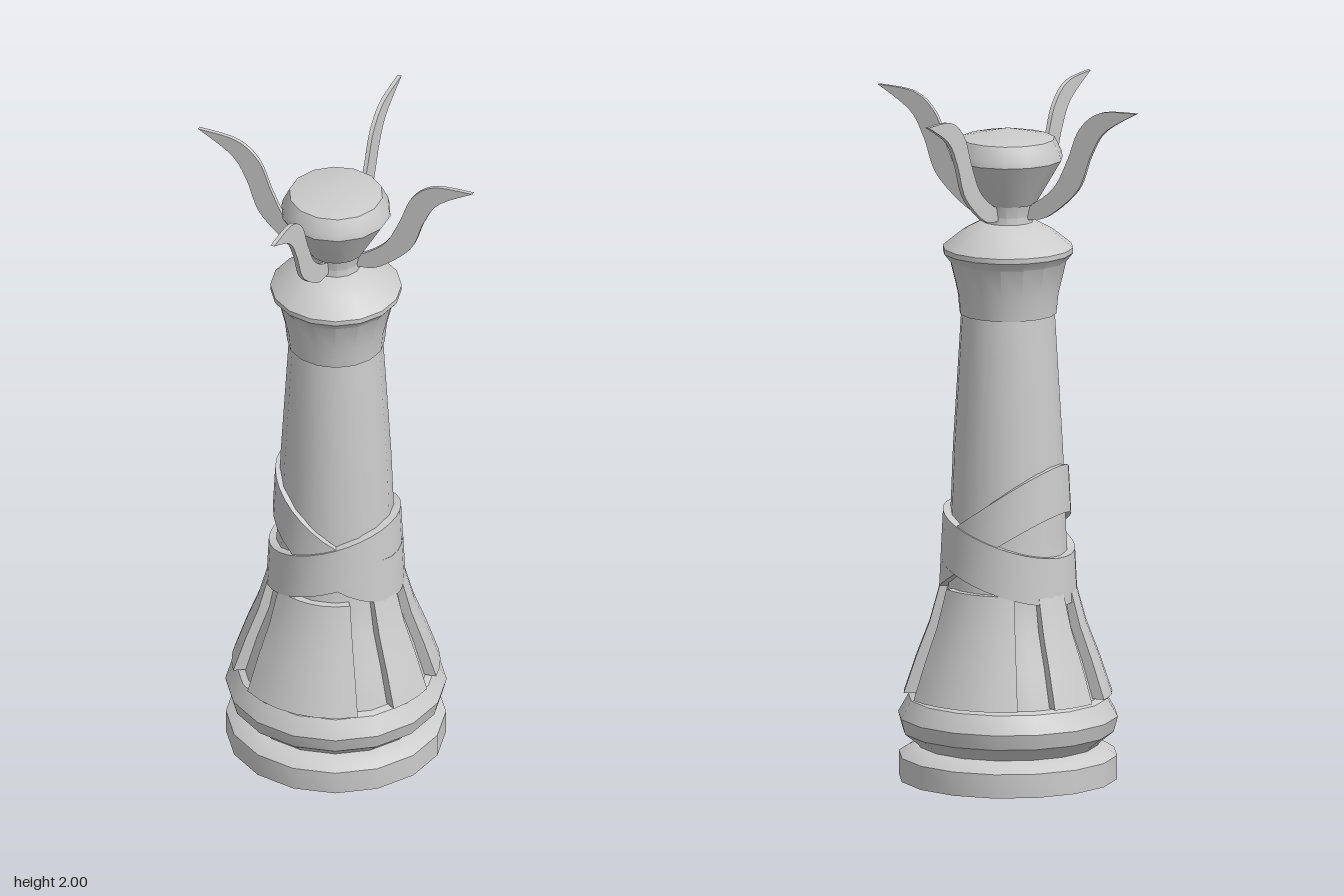
import * as THREE from 'three';
import { toCreasedNormals } from 'three/addons/utils/BufferGeometryUtils.js';

const material = new THREE.MeshStandardMaterial({ color: 0xcccccc });
const SIDES = 16;

function addPart(parent, name, geometry) {
  const mesh = new THREE.Mesh(toCreasedNormals(geometry, 0.55), material);
  mesh.name = name;
  parent.add(mesh);
  return mesh;
}

function lathe(profile, sides = SIDES) {
  return new THREE.LatheGeometry(profile.map(([r, y]) => new THREE.Vector2(r, y)), sides);
}

// Sweeps a closed [radius, height] section around y; angle 0 faces +z.
// Sections list the outer side upward, then the inner side downward.
function sweep(section, start, end, steps, capped) {
  const pos = [], index = [];
  let m = 0;
  for (let i = 0; i <= steps; i++) {
    const a = start + (end - start) * i / steps;
    const loop = section(a);
    m = loop.length;
    for (const [r, y] of loop) pos.push(r * Math.sin(a), y, r * Math.cos(a));
  }
  const quad = (a, b, c, d) => index.push(a, b, c, a, c, d);
  for (let i = 0; i < steps; i++) {
    for (let j = 0; j < m; j++) {
      const k = (j + 1) % m;
      quad(i * m + j, (i + 1) * m + j, (i + 1) * m + k, i * m + k);
    }
  }
  if (capped) {
    const e = steps * m;
    for (let j = 0; j < m / 2 - 1; j++) {
      quad(j, j + 1, m - 2 - j, m - 1 - j);
      quad(e + m - 1 - j, e + m - 2 - j, e + j + 1, e + j);
    }
  }
  const g = new THREE.BufferGeometry();
  g.setAttribute('position', new THREE.Float32BufferAttribute(pos, 3));
  g.setIndex(index);
  return g;
}

// Tilted cloth band that hugs the tapering column
function band(centre, rise, lift) {
  const outer = (y, a) => 0.225 - 0.05 * y + lift(a);
  return sweep((a) => {
    const y = centre + rise * Math.sin(a);
    const lo = y - 0.07, hi = y + 0.07;
    return [[outer(lo, a), lo], [outer(hi, a), hi], [outer(hi, a) - 0.04, hi], [outer(lo, a) - 0.04, lo]];
  }, 0, Math.PI * 2, 32, false);
}

// Skirt panel lying over the flared lower body
function panel(centreDeg, halfDeg, steps) {
  const outer = [[0.302, 0.25], [0.265, 0.36], [0.227, 0.46], [0.197, 0.57]];
  const loop = [...outer, ...outer.map(([r, y]) => [r - 0.045, y]).reverse()];
  const rad = THREE.MathUtils.degToRad;
  return sweep(() => loop, rad(centreDeg - halfDeg), rad(centreDeg + halfDeg), steps, true);
}

// Thin S-curved horn, drawn in the xy plane and pointing to +x
function horn(reach) {
  const v = ([x, y]) => new THREE.Vector2(x * reach, y);
  const lower = [[0.04, 1.65], [0.08, 1.652], [0.14, 1.67], [0.235, 1.755], [0.278, 1.86], [0.325, 1.935], [0.43, 2]].map(v);
  const upper = [[0.43, 2], [0.31, 1.99], [0.24, 1.935], [0.2, 1.84], [0.155, 1.755], [0.085, 1.7], [0.04, 1.69]].map(v);
  const shape = new THREE.Shape();
  shape.moveTo(lower[0].x, lower[0].y);
  shape.splineThru(lower.slice(1));
  shape.splineThru(upper.slice(1));
  shape.closePath();
  return new THREE.ExtrudeGeometry(shape, { depth: 0.012, bevelEnabled: false, curveSegments: 14 }).translate(0, 0, -0.006);
}

export function createModel() {
  const model = new THREE.Group();
  model.name = 'chessPiece';

  // Foot, ring and flared column
  addPart(model, 'base', lathe([[0, 0], [0.318, 0], [0.318, 0.07], [0.29, 0.088], [0.26, 0.1], [0, 0.1]]));
  addPart(model, 'baseRing', lathe([[0, 0.09], [0.255, 0.09], [0.268, 0.108], [0.308, 0.14], [0.32, 0.185], [0.29, 0.238], [0.25, 0.255], [0, 0.255]]));
  addPart(model, 'column', lathe([[0.275, 0.235], [0.237, 0.36], [0.2, 0.46], [0.178, 0.57],
    [0.17, 0.72], [0.16, 0.98], [0.136, 1.38]]));

  // Collar with overhanging rim and sloping shoulder
  addPart(model, 'collar', lathe([[0.12, 1.375], [0.141, 1.37], [0.147, 1.43], [0.17, 1.525], [0.19, 1.55],
    [0.19, 1.565], [0.135, 1.61], [0.08, 1.64], [0, 1.645]]));

  // Neck and faceted head
  addPart(model, 'neck', lathe([[0.075, 1.63], [0.07, 1.66], [0.083, 1.71]], 14));
  addPart(model, 'head', lathe([[0, 1.69], [0.083, 1.695], [0.16, 1.825], [0.156, 1.845], [0.136, 1.885], [0, 1.915]], 14));

  // Crossed bands around the waist
  addPart(model, 'lowerBand', band(0.665, 0.066, () => 0.003));
  addPart(model, 'upperBand', band(0.74, -0.125, (a) => 0.007 * Math.max(0, Math.sin(a)) - 0.003));

  // Skirt panels: wide at front and back, a pair on each side
  for (const a of [0, 180]) addPart(model, a ? 'backPanel' : 'frontPanel', panel(a, 35, 6));
  for (const side of [90, 270]) {
    for (const offset of [-20, 20]) {
      addPart(model, side === 90 ? 'leftPanel' : 'rightPanel', panel(side + offset, 13.5, 3));
    }
  }

  // Crown of four horns, the front and back pair reaching further
  for (let i = 0; i < 4; i++) {
    addPart(model, 'horn', horn(i % 2 ? 1.1 : 1)).rotation.y = i * Math.PI / 2;
  }
  return model;
}
